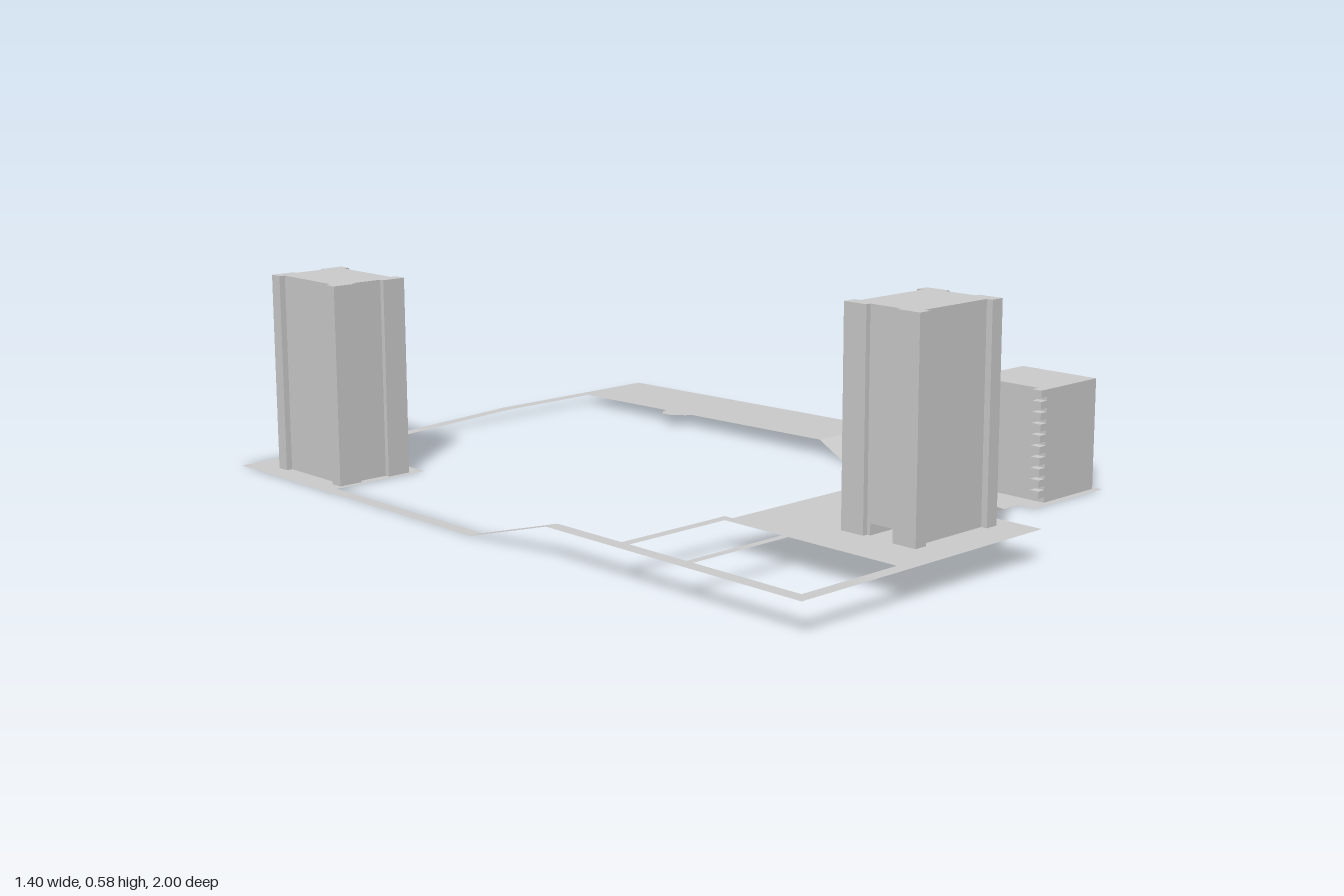
import * as THREE from 'three';

const solid = new THREE.MeshStandardMaterial({ color: 0xcccccc, flatShading: true });
const thin = new THREE.MeshStandardMaterial({ color: 0xcccccc, flatShading: true, side: THREE.DoubleSide });
const HIGH = 0.075, DECK = 0.043, RISE = 0.025;

// Flat polygon from [x, y, z] corners; drop is the axis ignored when triangulating
function poly(parent, name, pts, drop = 1) {
  const axes = [0, 1, 2].filter(a => a !== drop);
  const flat = pts.map(p => new THREE.Vector2(p[axes[0]], p[axes[1]]));
  const g = new THREE.BufferGeometry();
  g.setAttribute('position', new THREE.Float32BufferAttribute(pts.flat(), 3));
  // reversed so that ground faces, listed in any direction, look upwards
  g.setIndex(THREE.ShapeUtils.triangulateShape(flat, []).flat());
  const n = g.toNonIndexed();
  n.computeVertexNormals();
  const m = new THREE.Mesh(n, thin);
  m.name = name;
  parent.add(m);
}

// Level ground from [x, z] corners
const level = (parent, name, y, pts) => poly(parent, name, pts.map(([x, z]) => [x, y, z]));
const rect = (x0, x1, z0, z1) => [[x0, z0], [x1, z0], [x1, z1], [x0, z1]];

// Strip sloping along x (ya at x0, yb at x1) or along z
const slopeX = (p, name, x0, x1, ya, yb, z0, z1) =>
  poly(p, name, [[x0, ya, z0], [x1, yb, z0], [x1, yb, z1], [x0, ya, z1]]);
const slopeZ = (p, name, x0, x1, z0, z1, ya, yb) =>
  poly(p, name, [[x0, ya, z0], [x1, ya, z0], [x1, yb, z1], [x0, yb, z1]]);

// Vertical walls: in a plane of constant x from [z, y], or of constant z from [x, y]
const wallX = (p, name, x, pts) => poly(p, name, pts.map(([z, y]) => [x, y, z]), 0);
const wallZ = (p, name, z, pts) => poly(p, name, pts.map(([x, y]) => [x, y, z]), 2);
const band = (a, b, h) => [[a, 0], [b, 0], [b, h], [a, h]];

function prism(parent, name, pts, y0, y1) {
  const shape = new THREE.Shape(pts.map(([u, v]) => new THREE.Vector2(u, -v)));
  const g = new THREE.ExtrudeGeometry(shape, { depth: y1 - y0, bevelEnabled: false });
  g.rotateX(-Math.PI / 2).translate(0, y0, 0);
  const m = new THREE.Mesh(g, solid);
  m.name = name;
  parent.add(m);
}

// One quarter of a tower plan, trimmed by passages of half width cu and cv
const quarter = (cu, cv) => [
  [cu, cv], [0.124, cv], [0.124, 0.042], [0.137, 0.042], [0.137, 0.106],
  [0.103, 0.106], [0.103, 0.09], [cu, 0.09],
];

// Tower with recessed sides; cut(su, sv) gives the passages of each ground floor quarter
function tower(name, cut) {
  const t = new THREE.Group();
  t.name = name;
  const q = quarter(0, 0).slice(2, 7);
  const flip = (pts, su, sv) => pts.map(([u, v]) => [u * su, v * sv]);
  const plan = [
    ...q, ...flip(q, -1, 1).reverse(), ...flip(q, -1, -1), ...flip(q, 1, -1).reverse(),
  ];
  prism(t, 'towerShaft', plan, 0.027, 0.506);
  for (const su of [1, -1]) for (const sv of [1, -1])
    prism(t, 'towerBase', flip(quarter(...cut(su, sv)), su, sv), 0, 0.027);
  return t;
}

export function createModel() {
  const root = new THREE.Group();
  root.name = 'cityBlock';
  const ground = new THREE.Group();
  ground.name = 'ground';
  root.add(ground);

  // Back corner pad and back path
  level(ground, 'backPad', 0, rect(-0.7, -0.395, -1, -0.62));
  slopeX(ground, 'backPathSlope', -0.395, 0.17, 0, RISE, -1, -0.967);
  level(ground, 'backPath', RISE, rect(0.17, 0.465, -1, -0.967));

  // Wide side street with a small bay, rising towards the raised deck
  const streetY = z => RISE + (DECK - RISE) * (z + 1) / 0.97;
  poly(ground, 'sideStreet', [
    [0.465, -1], [0.7, -1], [0.7, -0.03], [0.465, -0.03], [0.465, -0.525],
    [0.45, -0.53], [0.425, -0.565], [0.425, -0.6], [0.45, -0.62], [0.465, -0.625],
  ].map(([x, z]) => [x, streetY(z), z]));
  slopeZ(ground, 'streetSlope', 0.465, 0.65, -0.03, 0.05, DECK, 0);

  // Narrow path on the other side, climbing to the plateau
  level(ground, 'sidePathLow', 0, rect(-0.7, -0.665, -0.62, -0.04));
  slopeZ(ground, 'sidePathSlope', -0.7, -0.665, -0.04, 0.23, 0, HIGH);
  level(ground, 'sidePathHigh', HIGH, rect(-0.7, -0.665, 0.23, 1));
  for (const [z0, z1] of [[0.44, 0.465], [0.64, 0.66], [0.967, 1]])
    level(ground, 'crossPath', HIGH, rect(-0.665, -0.38, z0, z1));

  // Plateau
  level(ground, 'plateau', HIGH, [
    [-0.38, 0.465], [0.175, 0.465], [0.175, 0.66], [0.065, 0.66], [0.065, 1], [-0.38, 1],
  ]);

  // Stepped ramp descending along the plateau wall
  level(ground, 'rampTop', HIGH, rect(-0.38, -0.355, 0.44, 0.465));
  slopeX(ground, 'upperRamp', -0.355, -0.27, HIGH, 0.037, 0.44, 0.465);
  level(ground, 'rampLanding', 0.037, rect(-0.27, -0.205, 0.44, 0.465));
  slopeX(ground, 'lowerRamp', -0.205, -0.125, 0.037, 0, 0.44, 0.465);

  // Lower square
  level(ground, 'lowerSquare', 0, [
    [-0.125, 0.44], [0.425, 0.44], [0.425, 0.12], [0.465, 0.05], [0.65, 0.05], [0.65, 0.12],
    [0.56, 0.12], [0.56, 0.245], [0.54, 0.245], [0.54, 0.465], [0.7, 0.465], [0.7, 0.71],
    [0.425, 0.71], [0.425, 0.66], [0.37, 0.66], [0.37, 0.64], [0.175, 0.64], [0.175, 0.465],
    [-0.125, 0.465],
  ]);

  // Plateau walls, one with a doorway, and the front ramp
  wallZ(ground, 'plateauBackWall', 0.465, [
    [-0.355, HIGH], [-0.27, 0.037], [-0.205, 0.037], [-0.125, 0], [-0.063, 0], [-0.063, 0.02],
    [-0.032, 0.02], [-0.032, 0], [0.175, 0], [0.175, HIGH],
  ]);
  wallX(ground, 'plateauSideWall', 0.175, band(0.465, 0.64, HIGH));
  slopeX(ground, 'frontRamp', 0.175, 0.37, HIGH, 0, 0.64, 0.66);
  wallZ(ground, 'rampInnerWall', 0.64, [[0.175, 0], [0.37, 0], [0.175, HIGH]]);
  wallZ(ground, 'rampOuterWall', 0.66, [[0.065, 0], [0.37, 0], [0.175, HIGH], [0.065, HIGH]]);

  // Raised deck with doorways below its stepped edge
  const deck = new THREE.Group();
  deck.name = 'raisedDeck';
  root.add(deck);
  level(deck, 'deckTop', DECK, [
    [0.65, -0.03], [0.7, -0.03], [0.7, 0.465], [0.665, 0.465], [0.665, 0.437], [0.54, 0.437],
    [0.54, 0.245], [0.56, 0.245], [0.56, 0.12], [0.65, 0.12],
  ]);
  const doorWall = (a, b, d0, d1) => [
    [a, 0], [d0, 0], [d0, 0.036], [d1, 0.036], [d1, 0], [b, 0], [b, DECK], [a, DECK],
  ];
  wallX(deck, 'deckWall', 0.65, [[-0.03, DECK], [0.05, 0], [0.12, 0], [0.12, DECK]]);
  wallX(deck, 'deckDoorWall', 0.56, doorWall(0.12, 0.245, 0.16, 0.235));
  wallX(deck, 'deckDoorWall', 0.54, doorWall(0.245, 0.437, 0.278, 0.302));
  wallZ(deck, 'deckWall', 0.12, band(0.56, 0.65, DECK));
  wallZ(deck, 'deckWall', 0.245, band(0.54, 0.56, DECK));
  wallZ(deck, 'deckWall', 0.437, [[0.54, 0], [0.665, DECK], [0.54, DECK]]);
  slopeX(deck, 'deckRamp', 0.54, 0.665, 0, DECK, 0.437, 0.465);
  wallZ(deck, 'deckEndWall', 0.465, [[0.54, 0], [0.7, 0], [0.7, DECK], [0.665, DECK]]);

  // Two tall towers, the second turned a quarter
  const front = tower('frontTower', (su, sv) => [sv < 0 ? 0.033 : 0, 0.033]);
  front.position.set(-0.12, HIGH, 0.807);
  const back = tower('backTower', (su, sv) => [sv > 0 ? 0.033 : 0, 0]);
  back.rotation.y = Math.PI / 2;
  back.position.set(-0.539, 0, -0.771);
  root.add(front, back);

  // Low block with two columns of balconies
  const block = new THREE.Group();
  block.name = 'balconyBlock';
  root.add(block);
  const box = (name, x0, x1, y0, y1, z0, z1) => {
    const m = new THREE.Mesh(new THREE.BoxGeometry(x1 - x0, y1 - y0, z1 - z0), solid);
    m.position.set((x0 + x1) / 2, (y0 + y1) / 2, (z0 + z1) / 2);
    m.name = name;
    block.add(m);
  };
  box('blockBody', 0.488, 0.686, 0, 0.281, 0.465, 0.69);
  for (let i = 0; i < 10; i++) {
    const top = 0.281 - i * 0.0277;
    for (const [z0, z1] of [[0.465, 0.49], [0.663, 0.69]])
      box('balcony', 0.465, 0.488, top - 0.018, top, z0, z1);
  }
  return root;
}
